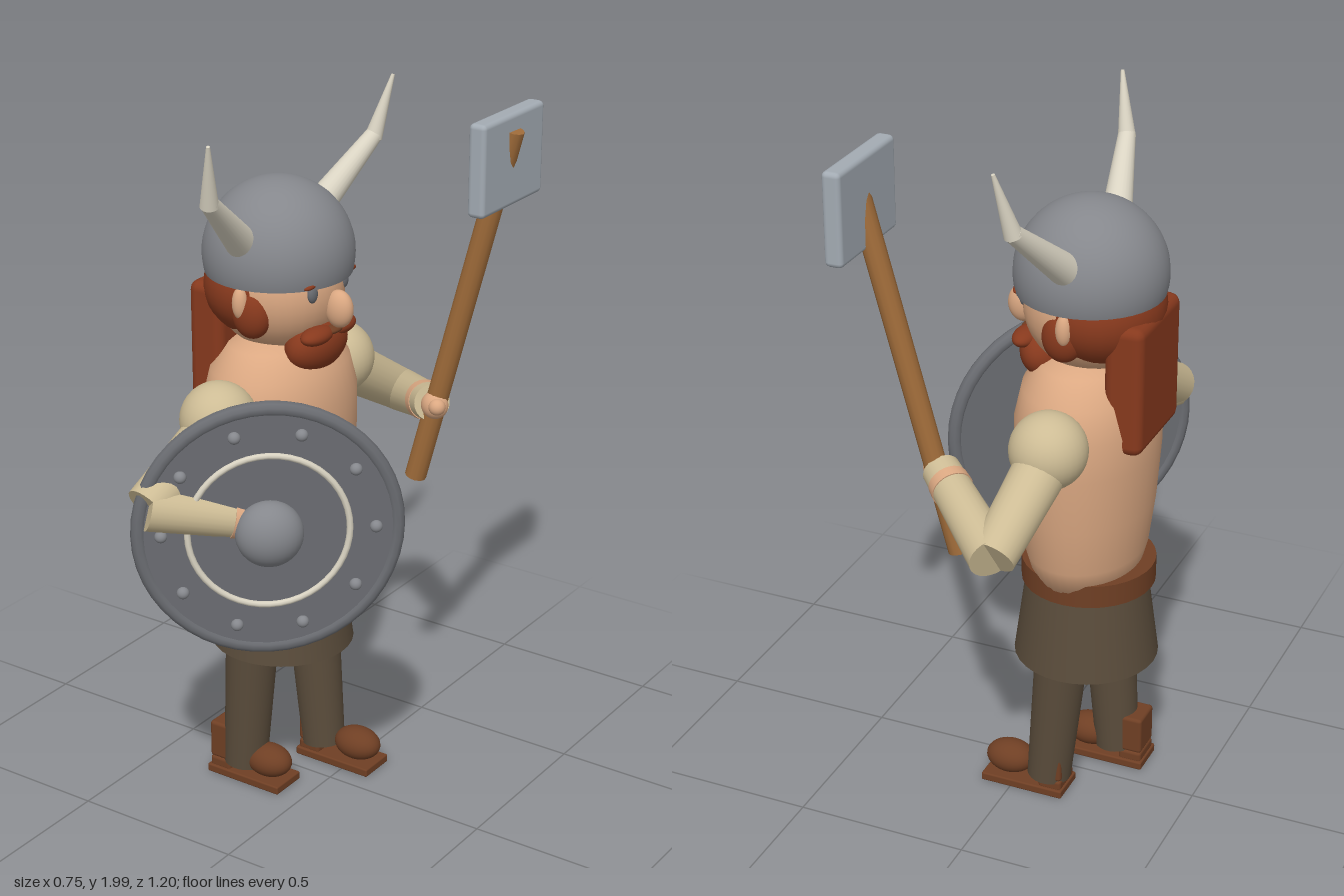
import * as THREE from 'three';
import { RoundedBoxGeometry } from 'three/addons/geometries/RoundedBoxGeometry.js';

const mat = (name, color) => Object.assign(new THREE.MeshStandardMaterial({ color }), { name });
const V = (a) => new THREE.Vector3(...a);

export function createModel() {
  const root = new THREE.Group();
  root.name = 'warrior';
  const skin = mat('skin', 0xdba882), hair = mat('red hair', 0x87391d), steel = mat('helmet steel', 0x85878c),
    shieldGrey = mat('shield iron', 0x6a6c71), blade = mat('pale blade steel', 0xa3abb3),
    cloth = mat('brown cloth', 0x5a4c3b), leather = mat('leather', 0x6f3f24), horn = mat('horn', 0xd9d3c2),
    sleeve = mat('sleeve', 0xcdbc95), wood = mat('wood', 0xa06c3a);
  steel.side = THREE.DoubleSide;

  const add = (name, geo, material, pos = [0, 0, 0], parent = root) => {
    const m = new THREE.Mesh(geo, material);
    m.name = name;
    m.position.set(...pos);
    parent.add(m);
    return m;
  };
  const ball = (name, material, pos, r, parent) => {
    const m = add(name, new THREE.SphereGeometry(1, 32, 20), material, pos, parent);
    m.scale.set(...r);
    return m;
  };
  const box = (name, material, pos, size, r = 0.01) =>
    add(name, new RoundedBoxGeometry(...size, 2, r), material, pos);
  // Tapered cylinder running from a to b
  const limb = (name, material, a, b, ra, rb, seg = 24) => {
    const A = V(a), B = V(b), d = B.clone().sub(A);
    const m = add(name, new THREE.CylinderGeometry(rb, ra, d.length(), seg), material,
      A.clone().add(B).multiplyScalar(0.5).toArray());
    m.quaternion.setFromUnitVectors(V([0, 1, 0]), d.normalize());
    return m;
  };

  // Torso: barrel profile, flattened front to back
  const profile = [[0, 0.70], [0.185, 0.70], [0.212, 0.78], [0.235, 0.92], [0.25, 1.08], [0.25, 1.19],
    [0.225, 1.28], [0.165, 1.345], [0.08, 1.375], [0, 1.38]].map((p) => new THREE.Vector2(...p));
  const torso = add('torso', new THREE.LatheGeometry(profile, 40), skin, [-0.165, 0, 0]);
  torso.scale.x = 0.77;

  // Skirt, belt and buckle
  limb('skirt', cloth, [-0.165, 0.43, 0], [-0.165, 0.70, 0], 0.204, 0.168, 32);
  limb('belt', leather, [-0.17, 0.67, 0], [-0.17, 0.737, 0], 0.188, 0.188, 32);
  box('buckle', wood, [0.018, 0.735, 0], [0.03, 0.055, 0.062]);

  // Head, hair and face
  ball('head', skin, [-0.17, 1.5, 0], [0.185, 0.18, 0.178]);
  ball('hair', hair, [-0.205, 1.5, 0], [0.165, 0.15, 0.192]);
  box('backHair', hair, [-0.315, 1.325, 0], [0.11, 0.37, 0.295], 0.028);
  ball('nose', skin, [0.03, 1.465, 0], [0.042, 0.053, 0.031]);
  const beard = ball('beard', hair, [-0.045, 1.353, 0], [0.068, 0.08, 0.114]);
  beard.rotation.z = -0.35;
  ball('mouth', leather, [0.005, 1.403, 0], [0.025, 0.012, 0.04]);
  for (const s of [1, -1]) {
    ball('sideburn', hair, [-0.15, 1.46, s * 0.15], [0.058, 0.07, 0.045]);
    ball('ear', skin, [-0.165, 1.495, s * 0.182], [0.022, 0.045, 0.022]);
    ball('eye', shieldGrey, [-0.006, 1.52, s * 0.073], [0.012, 0.025, 0.018]);
    const brow = ball('eyebrow', hair, [0.0, 1.553, s * 0.085], [0.016, 0.01, 0.034]);
    brow.rotation.x = s * 0.2;
    ball('moustache', hair, [-0.005, 1.398, s * 0.055], [0.035, 0.025, 0.06]);
  }

  // Helmet dome and two-part horns
  add('helmet', new THREE.SphereGeometry(0.208, 40, 24, 0, Math.PI * 2, 0, 1.82), steel, [-0.167, 1.592, 0]);
  for (const s of [1, -1]) {
    limb('hornBase', horn, [-0.165, 1.66, s * 0.17], [-0.11, 1.835, s * 0.383], 0.044, 0.024);
    limb('hornTip', horn, [-0.112, 1.825, s * 0.378], [-0.078, 1.998, s * 0.423], 0.025, 0.005);
  }

  // Legs and boots, one foot ahead of the other
  for (const [s, hip, ankle, foot] of [[1, -0.188, -0.22, -0.193], [-1, -0.14, -0.1, -0.035]]) {
    const z = s * 0.113;
    limb('leg', cloth, [ankle, 0.05, z], [hip, 0.5, z], 0.063, 0.077);
    box('sole', leather, [foot, 0.0175, z], [0.25, 0.025, 0.115], 0.005);
    ball('bootToe', leather, [foot + 0.056, 0.075, z], [0.072, 0.048, 0.054]);
    box('bootHeel', leather, [foot - 0.085, 0.113, z], [0.07, 0.115, 0.1]);
    box('heelBase', leather, [foot - 0.085, 0.04, z], [0.07, 0.035, 0.1]);
  }

  // Arms
  const arm = (elbow, wrist, z) => {
    ball('shoulder', sleeve, [-0.167, 1.195, z], [0.106, 0.106, 0.106]);
    limb('upperArm', sleeve, [-0.167, 1.18, z], elbow, 0.075, 0.063);
    limb('forearm', sleeve, elbow, wrist, 0.064, 0.052);
    const at = (t) => V(elbow).lerp(V(wrist), t).toArray();
    limb('wristBand', skin, at(0.77), at(0.86), 0.058, 0.056);
  };
  arm([-0.13, 1.01, -0.56], [0.12, 1.1, -0.335], -0.283);
  arm([-0.21, 1.025, 0.545], [-0.01, 0.96, 0.335], 0.283);
  ball('hand', skin, [0.135, 1.1, -0.325], [0.04, 0.04, 0.035]);
  ball('thumb', skin, [0.155, 1.105, -0.305], [0.024, 0.024, 0.024]);

  // Axe
  limb('axeHandle', wood, [0.07, 0.865, -0.333], [0.345, 1.925, -0.356], 0.031, 0.031, 12);
  box('axeHead', blade, [0.324, 1.843, -0.357], [0.052, 0.256, 0.314], 0.014);

  // Round shield, its face turned outward along local z
  const shield = new THREE.Group();
  shield.name = 'shield';
  shield.position.set(0.03, 0.945, 0.335);
  shield.rotation.y = 0.714;
  root.add(shield);
  add('shieldDisc', new THREE.CylinderGeometry(0.35, 0.35, 0.03, 48), shieldGrey, [0, 0, 0], shield)
    .rotation.x = Math.PI / 2;
  add('shieldRim', new THREE.TorusGeometry(0.346, 0.021, 10, 48), shieldGrey, [0, 0, 0], shield);
  add('shieldRing', new THREE.TorusGeometry(0.217, 0.009, 8, 48), horn, [0, 0, 0.015], shield);
  ball('shieldBoss', steel, [0, 0, 0.03], [0.092, 0.092, 0.075], shield);
  for (let i = 0; i < 10; i++) {
    const a = (i * Math.PI) / 5;
    ball('rivet', steel, [0.287 * Math.cos(a), 0.287 * Math.sin(a), 0.017], [0.017, 0.017, 0.017], shield);
  }
  return root;
}
